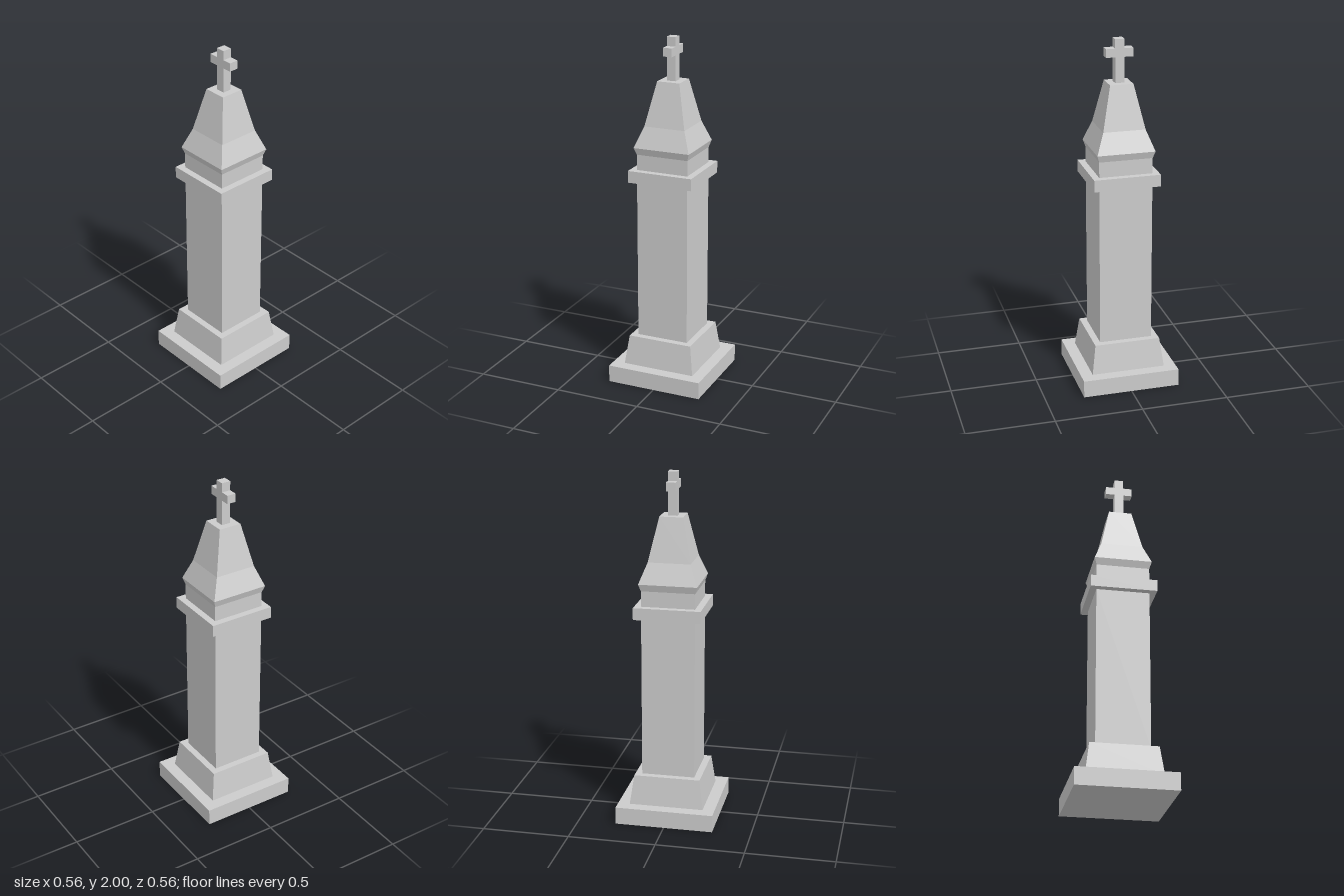
import * as THREE from 'three';

const material = new THREE.MeshStandardMaterial({ color: 0xcccccc, flatShading: true });

function addMesh(group, name, geometry) {
  const flat = geometry.index ? geometry.toNonIndexed() : geometry;
  flat.computeVertexNormals();
  const mesh = new THREE.Mesh(flat, material);
  mesh.name = name;
  group.add(mesh);
}

// Square-plan solid from a profile of [half width, height], bottom to top
function squareSolid(profile) {
  const points = profile.map(([half, y]) => new THREE.Vector2(half * Math.SQRT2, y));
  points.unshift(new THREE.Vector2(0, profile[0][1]));
  points.push(new THREE.Vector2(0, profile[profile.length - 1][1]));
  return new THREE.LatheGeometry(points, 4, Math.PI / 4);
}

export function createModel() {
  const group = new THREE.Group();
  group.name = 'monument';

  // Stacked square masonry, from the ground up
  const parts = {
    baseSlab: [[0.281, 0], [0.281, 0.1]],
    taperedPlinth: [[0.213, 0.1], [0.19, 0.27]],
    shaft: [[0.152, 0.27], [0.152, 1.197]],
    collarBand: [[0.19, 1.197], [0.19, 1.265]],
    neckAndRoof: [[0.152, 1.265], [0.152, 1.353], [0.165, 1.393], [0.12, 1.51], [0.066, 1.757]],
  };
  for (const [name, profile] of Object.entries(parts)) addMesh(group, name, squareSolid(profile));

  // Cross on the summit, mirrored from its right-hand outline
  const t = 0.026, arm = 0.077;
  const half = [[t, 1.757], [t, 1.9], [arm, 1.9], [arm, 1.948], [t, 1.948], [t, 2]];
  const outline = [...half, ...half.map(([x, y]) => [-x, y]).reverse()];
  const shape = new THREE.Shape(outline.map(([x, y]) => new THREE.Vector2(x, y)));
  const cross = new THREE.ExtrudeGeometry(shape, { depth: 2 * t, bevelEnabled: false });
  cross.translate(0, 0, -t);
  addMesh(group, 'cross', cross);

  return group;
}
